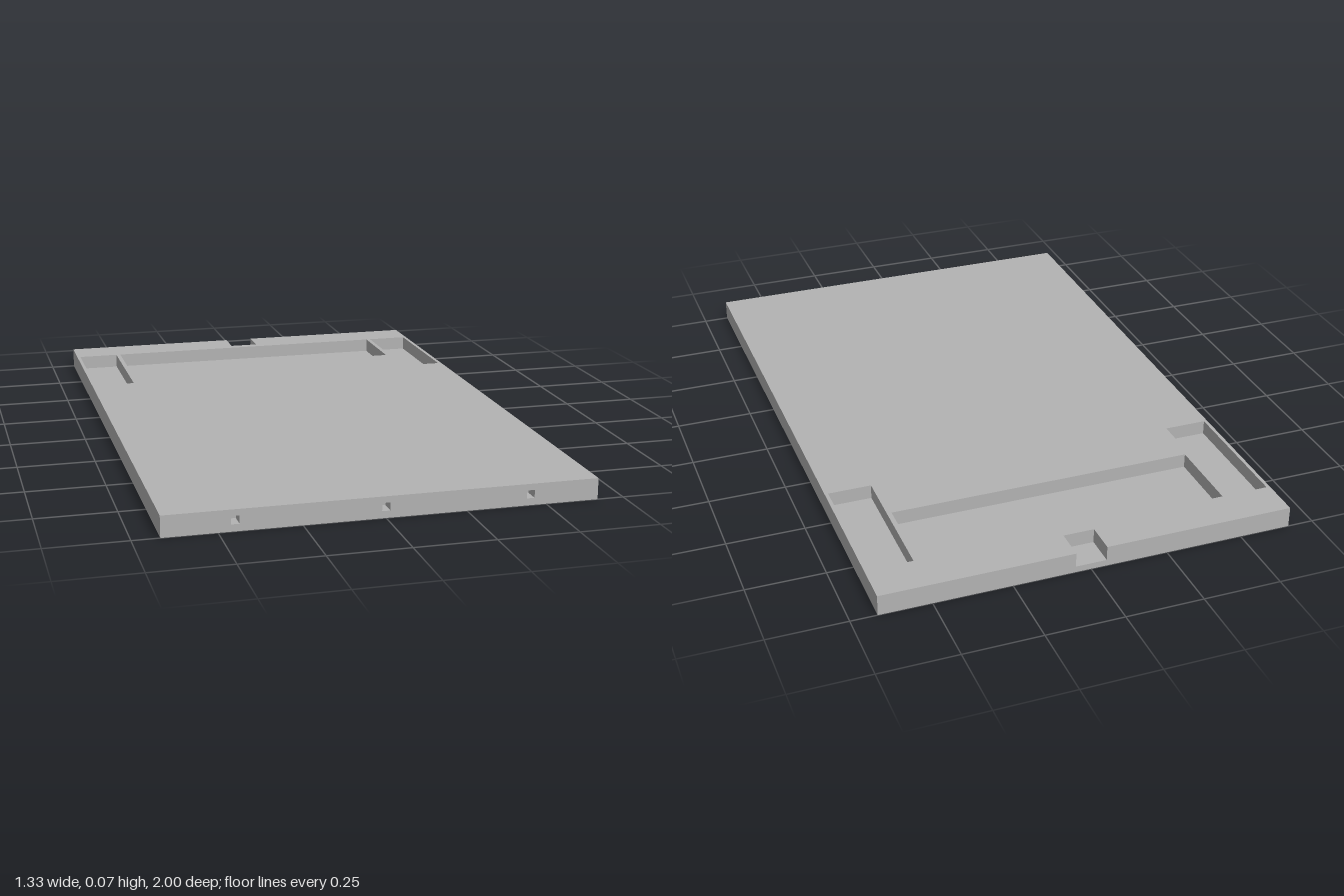
import * as THREE from 'three';

const W = 1.333, H = 0.067, FLOOR = 0.02, HOLE_DEPTH = 0.05;
const BACK = -1, FRONT = 1, SEAM = FRONT - HOLE_DEPTH;

// Rectangular hole path
function rectPath(x0, y0, x1, y1) {
  return new THREE.Path([[x0, y0], [x0, y1], [x1, y1], [x1, y0]].map(p => new THREE.Vector2(...p)));
}

function polygon(points) {
  return new THREE.Shape(points.map(p => new THREE.Vector2(...p)));
}

export function createModel() {
  const group = new THREE.Group();
  const grey = new THREE.MeshStandardMaterial({ color: 0xb3b3b3 });
  grey.name = 'grey';
  const add = (name, geometry) => {
    const mesh = new THREE.Mesh(geometry, grey);
    mesh.name = name;
    group.add(mesh);
    return mesh;
  };

  // Thin floor under the pockets
  const length = SEAM - BACK;
  add('floorPlate', new THREE.BoxGeometry(W, FLOOR, length))
    .position.set(0, FLOOR / 2, BACK + length / 2);

  // Upper plate, drawn in plan as (x, -z), with a notch in the back edge
  const deck = polygon([
    [-W / 2, -SEAM], [W / 2, -SEAM], [W / 2, -BACK], [0.05, -BACK],
    [0.05, 0.9], [-0.05, 0.9], [-0.05, -BACK], [-W / 2, -BACK],
  ]);
  // Wide centre pocket and a narrow pocket on each side
  deck.holes.push(
    rectPath(-0.5, 0.605, 0.5, 0.87),
    rectPath(-0.655, 0.435, -0.515, 0.87),
    rectPath(0.515, 0.435, 0.655, 0.87),
  );
  const deckGeometry = new THREE.ExtrudeGeometry(deck, { depth: H - FLOOR, bevelEnabled: false });
  deckGeometry.rotateX(-Math.PI / 2);
  add('pocketedDeck', deckGeometry).position.y = FLOOR;

  // Front edge with three small square sockets
  const edge = polygon([[-W / 2, 0], [W / 2, 0], [W / 2, H], [-W / 2, H]]);
  for (const x of [-0.45, 0, 0.45]) {
    edge.holes.push(rectPath(x - 0.0125, 0.022, x + 0.0125, 0.047));
  }
  add('frontEdge', new THREE.ExtrudeGeometry(edge, { depth: HOLE_DEPTH, bevelEnabled: false }))
    .position.z = SEAM;

  return group;
}
